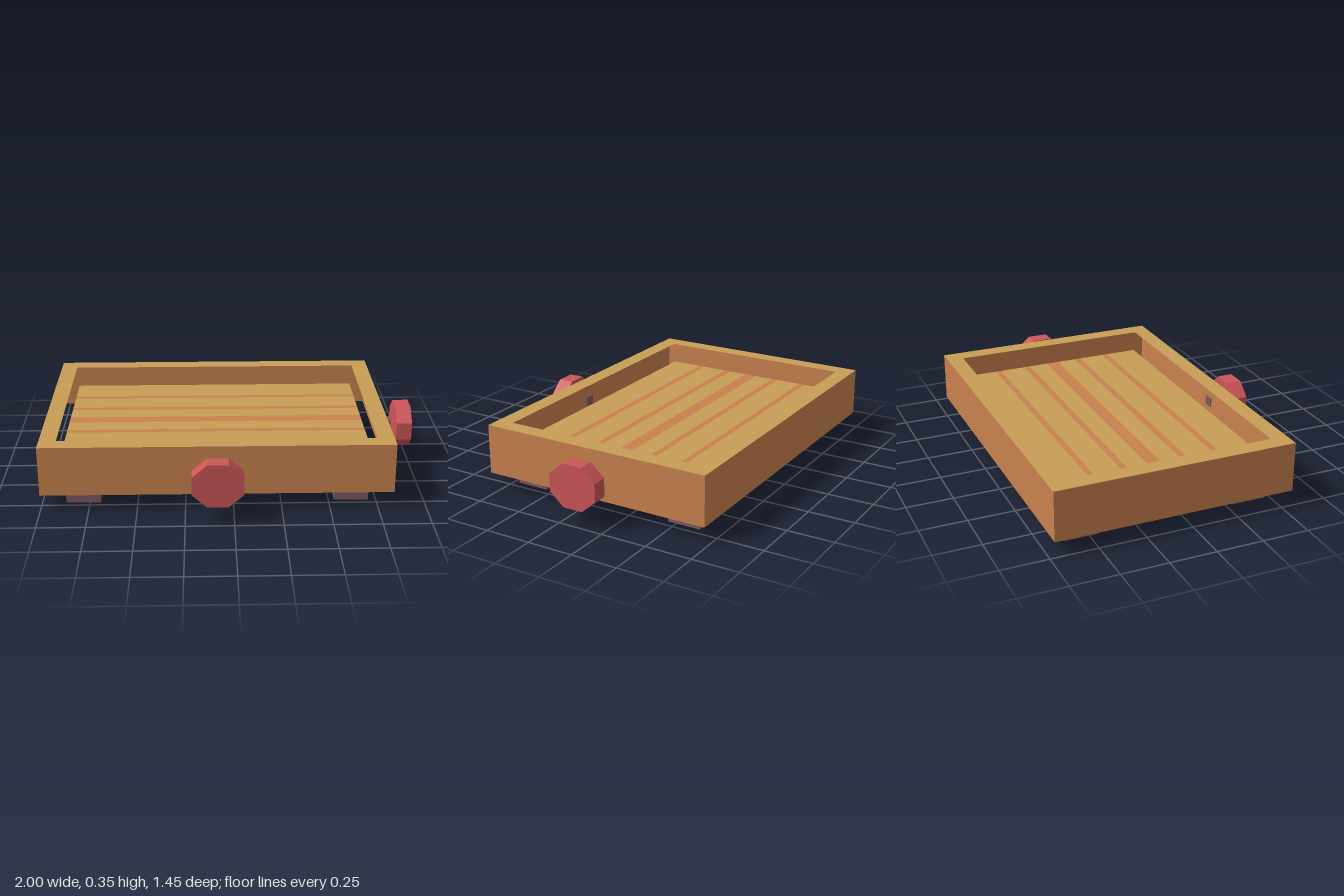
import * as THREE from 'three';

const paint = (name, color) => Object.assign(
  new THREE.MeshStandardMaterial({ color, side: THREE.DoubleSide, flatShading: true }), { name });

export function createModel() {
  const model = new THREE.Group();
  model.name = 'tiltBoard';
  const orangeWood = paint('orangeWood', 0xc9824f);
  const paleWood = paint('paleWood', 0xc99e56);
  const red = paint('red', 0xcc5658);
  const plum = paint('plum', 0x815763);

  const add = (name, geometry, material, x, y, z) => {
    const mesh = new THREE.Mesh(geometry, material);
    mesh.name = name;
    mesh.position.set(x, y, z);
    model.add(mesh);
    return mesh;
  };

  // Extents of the frame
  const L = -1, R = 0.833, B = -0.725, F = 0.558, LOW = 0.085, TOP = 0.352;
  const cx = (L + R) / 2, cz = (B + F) / 2, w = R - L, d = F - B, h = TOP - LOW;

  // Thin outer walls, open underneath
  const wall = (name, width, x, z, turn) => {
    add(name, new THREE.PlaneGeometry(width, h), orangeWood, x, (LOW + TOP) / 2, z).rotation.y = turn;
  };
  wall('frontWall', w, cx, F, 0);
  wall('backWall', w, cx, B, Math.PI);
  wall('leftWall', d, R, cz, Math.PI / 2);
  wall('rightWall', d, L, cz, -Math.PI / 2);

  // Flat rim with a rectangular opening (shape y becomes -z)
  const rectangle = (Type, x0, x1, z0, z1) => new Type(
    [[x0, -z1], [x1, -z1], [x1, -z0], [x0, -z0]].map(([x, y]) => new THREE.Vector2(x, y)));
  const rimShape = rectangle(THREE.Shape, L, R, B, F);
  rimShape.holes.push(rectangle(THREE.Path, -0.91, 0.742, -0.635, 0.468));
  add('rim', new THREE.ShapeGeometry(rimShape), paleWood, 0, TOP, 0).rotation.x = -Math.PI / 2;

  // Playing board of alternating strips
  const edges = [-0.625, -0.443, -0.41, -0.265, -0.23, -0.12, -0.048, 0.06, 0.097, 0.241, 0.276, 0.455];
  for (let i = 0; i < edges.length - 1; i++) {
    const z0 = edges[i], z1 = edges[i + 1];
    const strip = add(i % 2 ? 'boardStripe' : 'boardPanel', new THREE.PlaneGeometry(1.633, z1 - z0),
      i % 2 ? orangeWood : paleWood, -0.084, 0.24, (z0 + z1) / 2);
    strip.rotation.x = -Math.PI / 2;
  }

  // Four feet
  for (const x of [-0.785, 0.62])
    for (const z of [-0.542, 0.38])
      add('foot', new THREE.BoxGeometry(0.18, 0.083, 0.18), plum, x, 0.0415, z);

  // Octagonal knobs and their square axles
  const axis = -0.083, axleY = 0.207;
  const knobShape = () => new THREE.CylinderGeometry(1, 1, 0.085, 8)
    .rotateY(Math.PI / 8).rotateX(Math.PI / 2)
    .scale(0.132 / Math.cos(Math.PI / 8), 0.116 / Math.cos(Math.PI / 8), 1);
  add('frontKnob', knobShape(), red, axis, axleY, 0.6825);
  add('leftKnob', knobShape().rotateY(Math.PI / 2), red, 0.9575, axleY, axis);
  add('frontAxle', new THREE.BoxGeometry(0.058, 0.053, 0.068), plum, axis, axleY, 0.587);
  add('leftAxle', new THREE.BoxGeometry(0.064, 0.053, 0.058), plum, 0.866, axleY, axis);

  return model;
}
